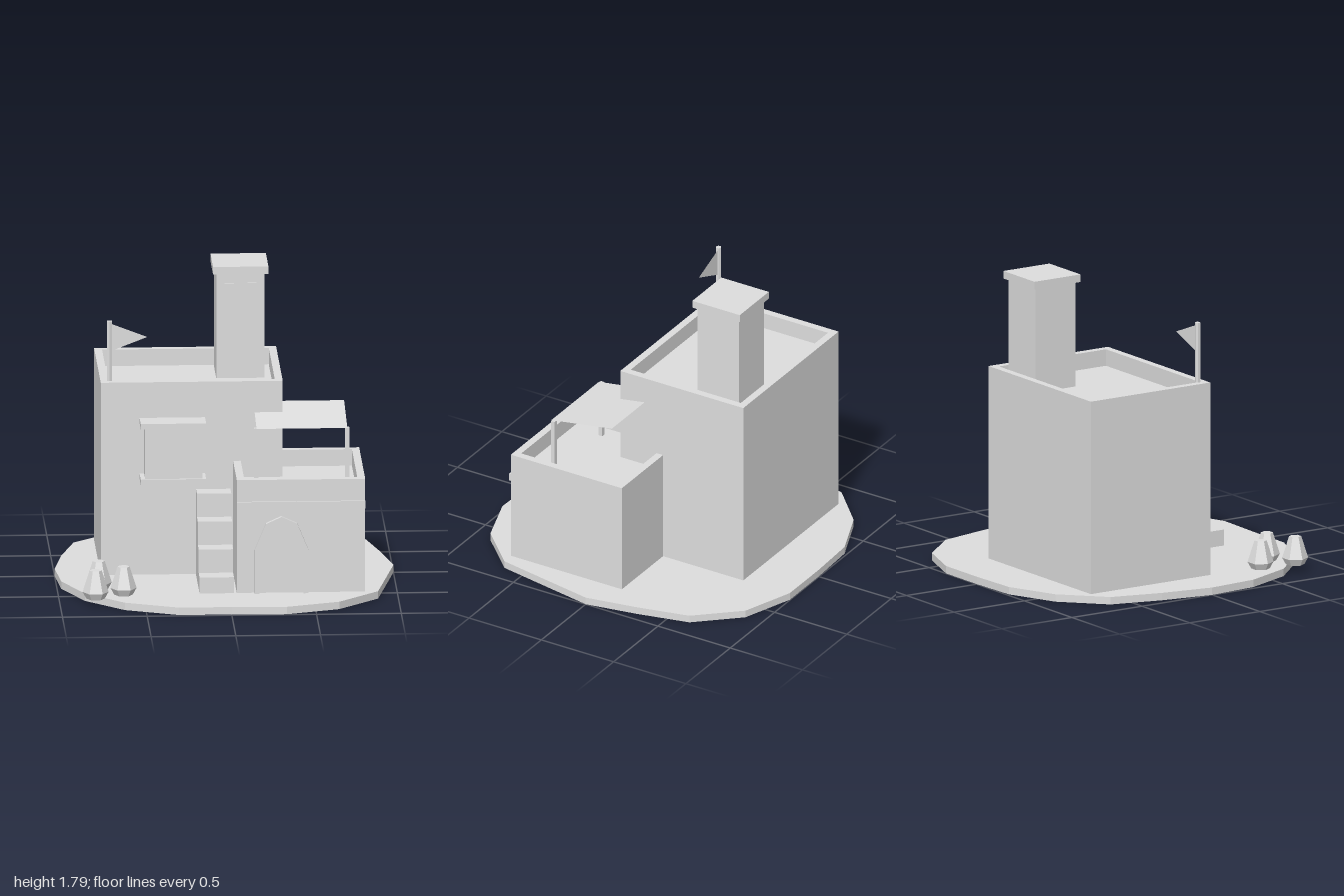
import * as THREE from 'three';

const stone = new THREE.MeshStandardMaterial({ color: 0xdedede, flatShading: true, side: THREE.DoubleSide });
stone.name = 'pale stone';

const GROUND = 0.045;

export function createModel() {
  const model = new THREE.Group();

  const add = (name, geometry, parent = model) => {
    const mesh = new THREE.Mesh(geometry, stone);
    mesh.name = name;
    parent.add(mesh);
    return mesh;
  };
  const group = (name) => {
    const g = new THREE.Group();
    g.name = name;
    model.add(g);
    return g;
  };
  // Box given by its limits on each axis
  const box = (name, x0, x1, y0, y1, z0, z1, parent) => {
    const mesh = add(name, new THREE.BoxGeometry(x1 - x0, y1 - y0, z1 - z0), parent);
    mesh.position.set((x0 + x1) / 2, (y0 + y1) / 2, (z0 + z1) / 2);
    return mesh;
  };
  const shapeOf = (points) => new THREE.Shape(points.map(([x, y]) => new THREE.Vector2(x, y)));
  const extrude = (shape, depth) => new THREE.ExtrudeGeometry(shape, { depth, bevelEnabled: false });
  const rect = (x0, x1, y0, y1) => [[x0, y0], [x1, y0], [x1, y1], [x0, y1]];

  // Pointed arch outline, centred on x = 0, standing on y = 0
  const arch = (halfWidth, spring, shoulderX, shoulderY, top) => [
    [-halfWidth, 0], [halfWidth, 0], [halfWidth, spring], [shoulderX, shoulderY],
    [0, top], [-shoulderX, shoulderY], [-halfWidth, spring],
  ];

  // Flat-roofed block: rectangular loops run up the wall, over the parapet and down to the roof
  const block = (x0, x1, z0, z1, top, parent) => {
    const loops = [[0, GROUND], [0, top], [0.045, top], [0.045, top - 0.1]];
    const positions = loops.flatMap(([inset, y]) =>
      rect(x0 + inset, x1 - inset, z0 + inset, z1 - inset).flatMap(([x, z]) => [x, y, z]));
    const index = [];
    const quad = (a, b, c, d) => index.push(a, b, c, a, c, d);
    for (let i = 0; i < loops.length - 1; i++) {
      for (let k = 0; k < 4; k++) {
        const a = i * 4 + k;
        const b = i * 4 + (k + 1) % 4;
        quad(a, a + 4, b + 4, b);
      }
    }
    quad(12, 15, 14, 13);
    const geometry = new THREE.BufferGeometry();
    geometry.setAttribute('position', new THREE.Float32BufferAttribute(positions, 3));
    geometry.setIndex(index);
    const flat = geometry.toNonIndexed();
    flat.computeVertexNormals();
    add('wallsAndRoof', flat, parent);
  };

  // Small arched window on a side wall
  const sideWindow = (parent, side, x, y, z, height) => {
    const outline = arch(0.062, height * 0.6, 0.042, height * 0.87, height);
    const mesh = add('sideWindow', new THREE.ShapeGeometry(shapeOf(outline)), parent);
    mesh.position.set(x + side * 0.001, y, z);
    mesh.rotation.y = side * Math.PI / 2;
  };

  // Uneven round ground slab, with a hollow under each step
  const rim = [
    [1, 0], [0.94, 0.32], [0.88, 0.635], [0.64, 0.88], [0.325, 0.99],
    [0, 0.98], [-0.31, 0.98], [-0.625, 0.845], [-0.85, 0.61], [-0.975, 0.31],
    [-1, 0], [-0.945, -0.32], [-0.86, -0.63], [-0.62, -0.86], [-0.315, -0.985],
    [0, -0.998], [0.325, -0.998], [0.64, -0.885], [0.865, -0.635], [0.94, -0.32],
  ];
  const slab = shapeOf(rim.map(([x, z]) => [x, -z]));

  // Steps up to the front room's roof
  const stairs = group('stairs');
  for (let i = 0; i < 4; i++) {
    const front = 0.643 - i * 0.112;
    box('step', -0.174, 0.029, 0.04, 0.142 * (i + 1), front - 0.112, front, stairs);
    slab.holes.push(shapeOf(rect(-0.172, 0.027, -front + 0.003, -front + 0.109)));
  }
  const ground = add('ground', extrude(slab, GROUND));
  ground.rotation.x = -Math.PI / 2;

  // Two building blocks
  const house = group('house');
  block(-0.735, 0.339, -0.685, 0.166, 1.213, house);
  sideWindow(house, -1, -0.735, 0.695, -0.255, 0.235);
  const frontRoom = group('frontRoom');
  block(0.046, 0.804, -0.13, 0.638, 0.73, frontRoom);
  sideWindow(frontRoom, 1, 0.804, 0.29, 0.25, 0.21);
  box('frontBand', 0.046, 0.804, 0.552, 0.598, 0.635, 0.65, frontRoom);

  // Tower with cap and two slit windows
  const tower = group('tower');
  box('shaft', -0.031, 0.254, 1.11, 1.75, -0.602, -0.315, tower);
  box('cap', -0.051, 0.276, 1.748, 1.794, -0.622, -0.294, tower);
  for (const x of [0.045, 0.179]) box('slitWindow', x - 0.027, x + 0.027, 1.406, 1.691, -0.315, -0.306, tower);

  // Bay window with ledges
  const bay = group('bayWindow');
  box('bay', -0.479, -0.142, 0.655, 0.97, 0.16, 0.303, bay);
  for (const y of [0.627, 0.965]) box('ledge', -0.506, -0.12, y, y + 0.032, 0.16, 0.317, bay);

  // Arched door and its frame
  const door = group('door');
  const frame = shapeOf(arch(0.158, 0.265, 0.092, 0.423, 0.465));
  frame.holes.push(shapeOf(arch(0.129, 0.255, 0.081, 0.39, 0.423)));
  add('doorFrame', extrude(frame, 0.03), door);
  add('doorPanel', extrude(shapeOf(arch(0.13, 0.256, 0.082, 0.391, 0.424)), 0.007), door);
  door.position.set(0.309, GROUND, 0.635);

  // Sloping awning on two posts
  const awning = group('awning');
  for (const x of [0.171, 0.708]) box('post', x - 0.013, x + 0.013, 0.625, 0.985, 0.386, 0.412, awning);
  const cloth = add('cloth', new THREE.PlaneGeometry(0.536, Math.hypot(0.418, 0.065)), awning);
  cloth.rotation.x = -Math.PI / 2 + Math.atan2(0.065, 0.418);
  cloth.position.set(0.441, 1.017, 0.207);

  // Pennant on a pole
  const flag = group('flag');
  const pole = add('pole', new THREE.CylinderGeometry(0.017, 0.017, 0.47, 6), flag);
  pole.position.set(-0.682, 1.34, 0.112);
  const pennant = add('pennant', new THREE.ShapeGeometry(shapeOf([[0, -0.082], [0.212, 0], [0, 0.082]])), flag);
  pennant.position.set(-0.67, 1.475, 0.112);

  // Six-sided jars
  const jarProfile = [[0, 0], [0.055, 0], [0.077, 0.04], [0.036, 0.17], [0, 0.17]]
    .map(([x, y]) => new THREE.Vector2(x, y));
  for (const [x, z] of [[-0.763, 0.505], [-0.623, 0.645], [-0.792, 0.732]]) {
    const jar = add('jar', new THREE.LatheGeometry(jarProfile, 6, Math.PI / 2));
    jar.position.set(x, GROUND, z);
  }

  return model;
}
